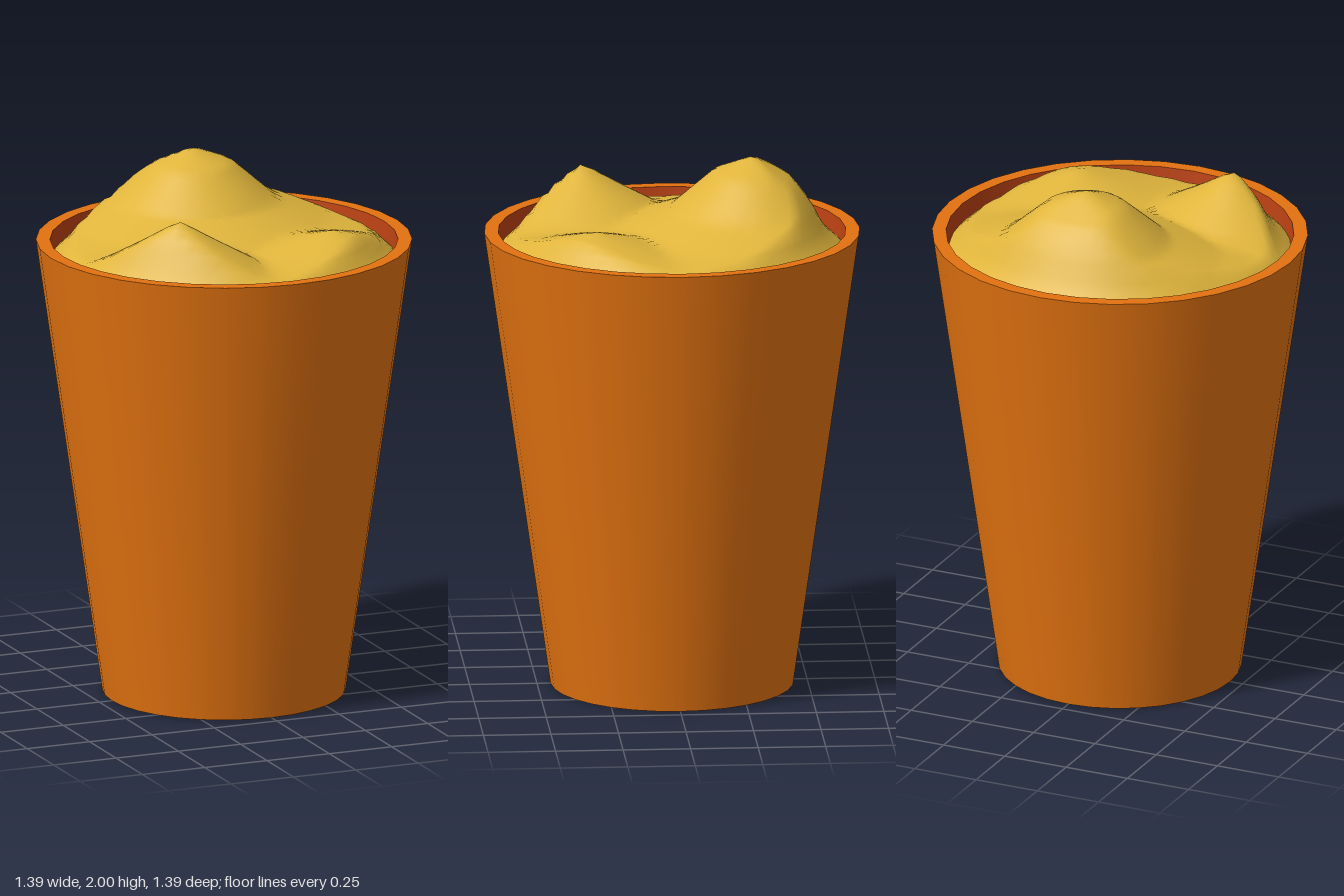
import * as THREE from 'three';
import { mergeVertices } from 'three/addons/utils/BufferGeometryUtils.js';

const TOP = 1.72, FILL_R = 0.633, SIDES = 32;

// Piecewise-linear profile lookup: pairs of [distance, height]
function profile(points, d) {
  for (let i = 1; i < points.length; i++) {
    const [d0, h0] = points[i - 1], [d1, h1] = points[i];
    if (d <= d1) return h0 + (h1 - h0) * (d - d0) / (d1 - d0);
  }
  return points[points.length - 1][1];
}

// Heaps of the filling: centre and slope profile
const heaps = [
  { x: 0, z: -0.3, slope: [[0, 2], [0.15, 1.94], [0.31, 1.8], [0.5, 1.73], [0.75, 1.68]] },
  { x: -0.31, z: 0.31, slope: [[0, 1.9], [0.15, 1.81], [0.31, 1.72], [0.5, 1.66]] },
  { x: 0.31, z: 0.31, slope: [[0, 1.8], [0.26, 1.73], [0.5, 1.68]] },
];
// Upper limit that drops the filling to its level at the wall
const shoulder = [[0, 2], [0.3, 2], [0.455, 1.9], [0.52, 1.81], [0.565, 1.72], [FILL_R, 1.655]];

function fillHeight(x, z) {
  const heights = heaps.map(h => profile(h.slope, Math.hypot(x - h.x, z - h.z)));
  return Math.min(Math.max(...heights), profile(shoulder, Math.hypot(x, z)));
}

export function createModel() {
  const group = new THREE.Group();
  const material = (name, color) => {
    const m = new THREE.MeshStandardMaterial({ color });
    m.name = name;
    return m;
  };
  const orange = material('orange', 0xe27210);
  const rust = material('rust', 0xb84012);
  const gold = material('gold', 0xe0b53c);

  const add = (name, geometry, mat) => {
    const mesh = new THREE.Mesh(geometry, mat);
    mesh.name = name;
    group.add(mesh);
  };
  const band = (r0, y0, r1, y1) => new THREE.LatheGeometry(
    [new THREE.Vector2(r0, y0), new THREE.Vector2(r1, y1)], SIDES);

  // Cup: separate bands keep the edges sharp
  add('cupBase', band(0, 0, 0.45, 0), orange);
  add('cupWall', band(0.45, 0, 0.695, TOP), orange);
  add('cupRim', band(0.695, TOP, 0.643, TOP), orange);
  add('cupInside', band(0.643, TOP, 0.618, 1.55), rust);

  // Filling: a disc raised into heaps
  const disc = new THREE.RingGeometry(0, FILL_R, 64, 24).rotateX(-Math.PI / 2);
  const pos = disc.attributes.position;
  for (let i = 0; i < pos.count; i++) pos.setY(i, fillHeight(pos.getX(i), pos.getZ(i)));
  disc.deleteAttribute('normal');
  disc.deleteAttribute('uv');
  const filling = mergeVertices(disc);
  filling.computeVertexNormals();
  add('filling', filling, gold);

  return group;
}
